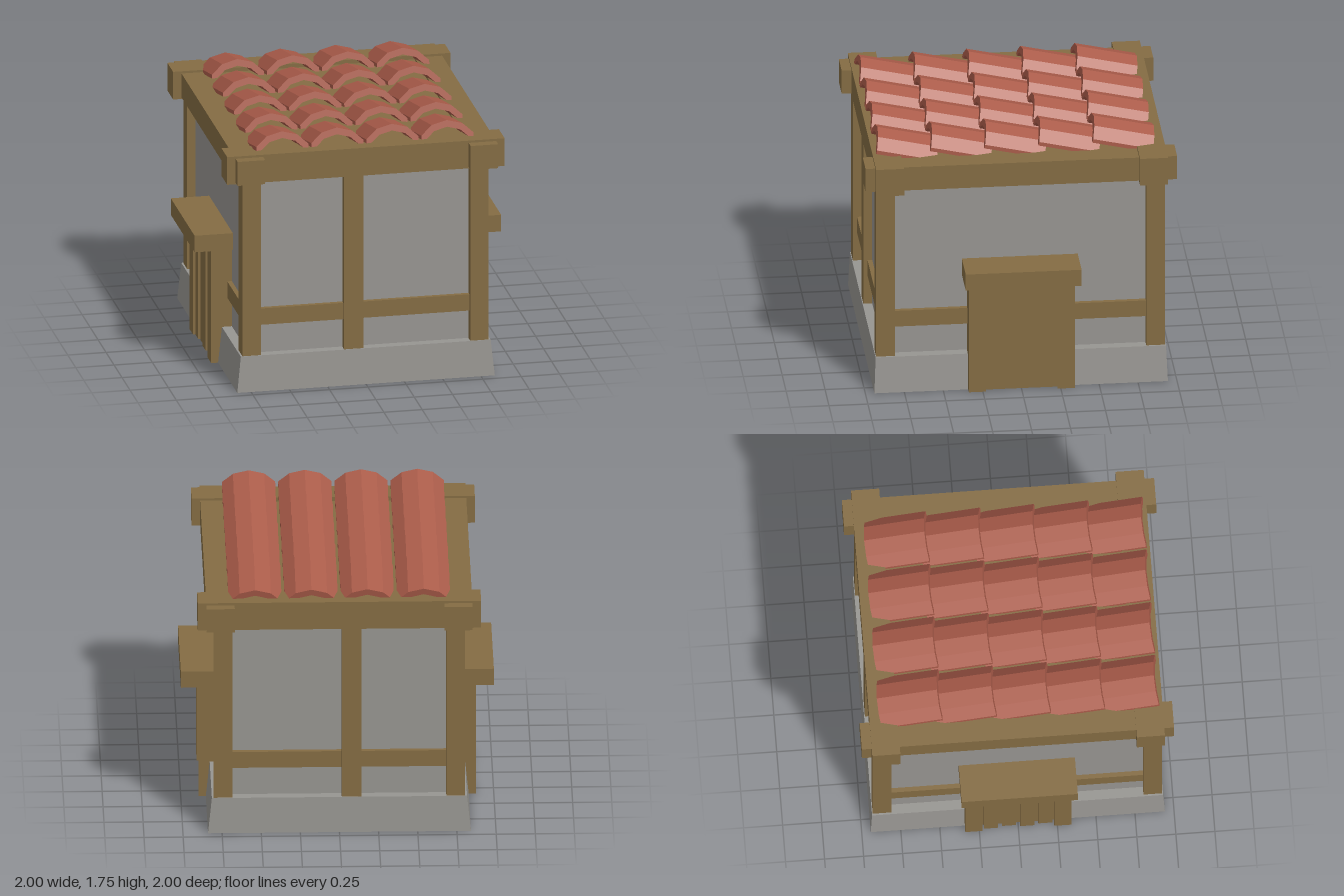
import * as THREE from 'three';

export function createModel() {
  const model = new THREE.Group();
  model.name = 'timberHut';
  const material = (name, color) => {
    const m = new THREE.MeshStandardMaterial({ color });
    m.name = name;
    return m;
  };
  const timber = material('timber', 0x846c43);
  const plaster = material('grey plaster', 0x979591);
  const clay = material('red clay', 0xab5c4a);

  // Box given by its minimum and maximum corners
  const box = (name, mat, [x0, y0, z0], [x1, y1, z1], parent = model) => {
    const mesh = new THREE.Mesh(new THREE.BoxGeometry(x1 - x0, y1 - y0, z1 - z0), mat);
    mesh.position.set((x0 + x1) / 2, (y0 + y1) / 2, (z0 + z1) / 2);
    mesh.name = name;
    parent.add(mesh);
    return mesh;
  };

  // Tapered plinth
  const plinth = box('plinth', plaster, [-0.84, 0, -0.942], [0.84, 0.24, 0.942]);
  const pos = plinth.geometry.attributes.position;
  for (let i = 0; i < pos.count; i++) {
    if (pos.getY(i) > 0) {
      pos.setX(i, Math.sign(pos.getX(i)) * 0.815);
      pos.setZ(i, Math.sign(pos.getZ(i)) * 0.932);
    }
  }
  plinth.geometry = plinth.geometry.toNonIndexed();
  plinth.geometry.computeVertexNormals();

  // Wall core and roof deck
  box('walls', plaster, [-0.75, 0.24, -0.87], [0.75, 1.5, 0.87]);
  box('roofDeck', timber, [-0.7, 1.5, -0.8], [0.7, 1.57, 0.8]);

  // Corner posts
  for (const sx of [-1, 1]) {
    for (const sz of [-1, 1]) {
      const x = sx * 0.743, z = sz * 0.867;
      box('cornerPost', timber, [x - 0.06, 0.24, z - 0.06], [x + 0.06, 1.42, z + 0.06]);
    }
  }

  // Front and back: middle post, rail and top beam
  for (const s of [-1, 1]) {
    const z = s * 0.867;
    box('middlePost', timber, [-0.14, 0.24, z - 0.06], [-0.015, 1.42, z + 0.06]);
    box('crossRail', timber, [-0.7, 0.435, s * 0.865 - 0.035], [0.7, 0.545, s * 0.865 + 0.035]);
    box('crossBeam', timber, [-0.905, 1.41, s * 0.847 - 0.09], [0.905, 1.597, s * 0.847 + 0.09]);
  }

  // Sides: rail, top beam and door
  for (const s of [-1, 1]) {
    box('sideRail', timber, [s * 0.745 - 0.035, 0.435, -0.83], [s * 0.745 + 0.035, 0.545, 0.83]);
    box('sideBeam', timber, [s * 0.76 - 0.09, 1.42, -1], [s * 0.76 + 0.09, 1.582, 1]);

    const door = new THREE.Group();
    door.name = s > 0 ? 'leftDoor' : 'rightDoor';
    model.add(door);
    const slab = (name, xOut, y0, y1, z0, z1) => {
      const xs = [s * 0.72, s * xOut].sort((a, b) => a - b);
      box(name, timber, [xs[0], y0, z0], [xs[1], y1, z1], door);
    };
    slab('lintel', 1, 0.768, 0.88, -0.372, 0.372);
    for (const z of [-0.285, 0.285]) slab('doorPost', 0.885, 0, 0.77, z - 0.055, z + 0.055);
    if (s > 0) {
      slab('doorPanel', 0.862, 0.004, 0.77, -0.235, 0.235);
    } else {
      // Separate planks over a recessed backing
      slab('doorBacking', 0.845, 0.006, 0.77, -0.235, 0.235);
      for (let i = 0; i < 4; i++) {
        const z = -0.174 + i * 0.116;
        slab('doorPlank', i % 2 ? 0.862 : 0.872, 0.003, 0.77, z - 0.045, z + 0.045);
      }
    }
  }

  // Arched tile: faceted arc with thickness, apex of its front edge at the origin
  const outer = [[-0.17, -0.09], [-0.1, -0.026], [0, 0], [0.1, -0.026], [0.17, -0.09]];
  const inner = [[0.17, -0.115], [0.135, -0.112], [0.085, -0.066], [0, -0.043],
    [-0.085, -0.066], [-0.135, -0.112], [-0.17, -0.115]];
  const profile = new THREE.Shape([...outer, ...inner].map(([x, y]) => new THREE.Vector2(x, y)));
  const tile = new THREE.ExtrudeGeometry(profile, { depth: 0.395, bevelEnabled: false });
  tile.translate(0, 0, -0.395);

  // Overlapping rows of tiles, tipped down toward the back
  const tiles = new THREE.Group();
  tiles.name = 'roofTiles';
  model.add(tiles);
  for (let row = 0; row < 5; row++) {
    for (let col = 0; col < 4; col++) {
      const mesh = new THREE.Mesh(tile, clay);
      mesh.name = 'roofTile';
      mesh.position.set(-0.54 + col * 0.359, 1.731 + row * 0.004, 0.892 - row * 0.347);
      mesh.rotation.x = -0.22;
      tiles.add(mesh);
    }
  }
  return model;
}
